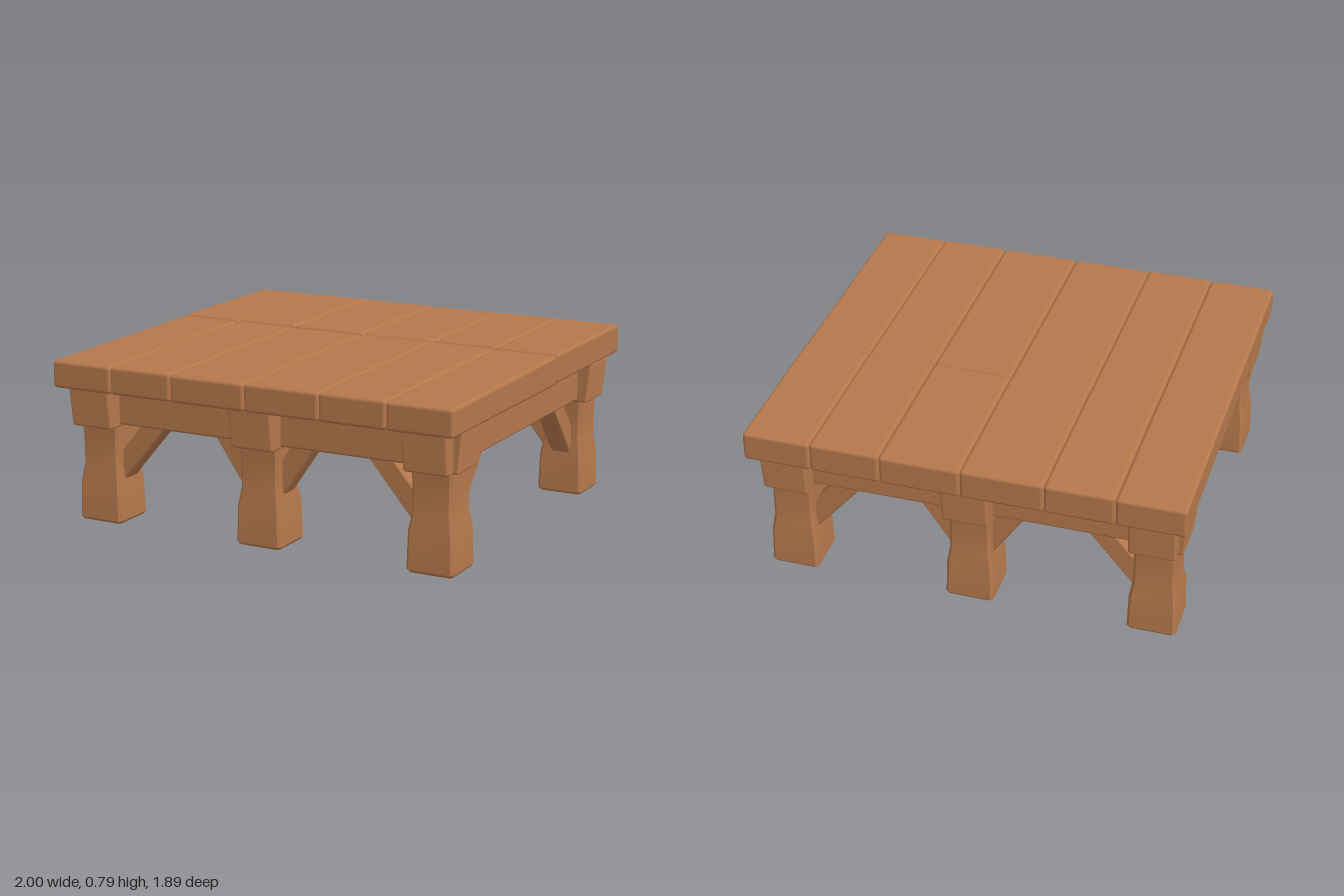
import * as THREE from 'three';
import { toCreasedNormals } from 'three/addons/utils/BufferGeometryUtils.js';
import { RoundedBoxGeometry } from 'three/addons/geometries/RoundedBoxGeometry.js';

const wood = new THREE.MeshStandardMaterial({ color: 0xb5784c });
wood.name = 'warm wood';

function add(parent, name, geometry) {
  const mesh = new THREE.Mesh(geometry, wood);
  mesh.name = name;
  parent.add(mesh);
  return mesh;
}

// Soft-edged box given by its limits, with an optional rule that moves vertices
function beam(x0, x1, y0, y1, z0, z1, radius, rule) {
  const g = new RoundedBoxGeometry(x1 - x0, y1 - y0, z1 - z0, 2, radius);
  g.translate((x0 + x1) / 2, (y0 + y1) / 2, (z0 + z1) / 2);
  if (rule) {
    const p = g.attributes.position;
    const v = new THREE.Vector3();
    for (let i = 0; i < p.count; i++) {
      rule(v.fromBufferAttribute(p, i));
      p.setXYZ(i, v.x, v.y, v.z);
    }
  }
  return g;
}

// Square post with chamfered corners, lofted through [y, half width] rows
function post(rows) {
  const pos = [], index = [], n = 8;
  for (const [y, h] of rows) {
    const c = h - 0.013;
    for (const [x, z] of [[h, c], [c, h], [-c, h], [-h, c], [-h, -c], [-c, -h], [c, -h], [h, -c]]) pos.push(x, y, z);
  }
  for (let r = 0; r < rows.length - 1; r++) {
    for (let i = 0; i < n; i++) {
      const a = r * n + i, b = r * n + (i + 1) % n;
      index.push(a, a + n, b, b, a + n, b + n);
    }
  }
  const top = (rows.length - 1) * n;
  for (let i = 1; i < n - 1; i++) {
    index.push(0, i, i + 1);
    index.push(top, top + i + 1, top + i);
  }
  const g = new THREE.BufferGeometry();
  g.setAttribute('position', new THREE.Float32BufferAttribute(pos, 3));
  g.setIndex(index);
  return toCreasedNormals(g, 0.5);
}

// Diagonal strut running along +x from the post centre, slanting up to the rail
function strut(points, width) {
  const bevel = 0.008;
  const shape = new THREE.Shape(points.map(([x, y]) => new THREE.Vector2(x, y)));
  const g = new THREE.ExtrudeGeometry(shape, {
    depth: width - 2 * bevel, bevelSize: bevel, bevelThickness: bevel, bevelOffset: -bevel, bevelSegments: 1,
  });
  return g.translate(0, 0, bevel - width / 2);
}

export function createModel() {
  const model = new THREE.Group();
  model.name = 'woodenPlatform';

  // Deck: two rows of planks, the front row dipping slightly forward
  const deck = new THREE.Group();
  deck.name = 'deck';
  model.add(deck);
  const seams = [-1, -0.69, -0.375, 0, 0.368, 0.688, 1];
  const drop = [0.002, 0, 0.003, 0.001, 0, 0.002];
  for (let i = 0; i < 6; i++) {
    const x0 = seams[i] + (i ? 0.001 : 0), x1 = seams[i + 1] - (i < 5 ? 0.001 : 0);
    add(deck, 'frontPlank', beam(x0, x1, 0.642, 0.783 - drop[i], -0.168, 0.947, 0.016, (v) => {
      if (v.y > 0.7) v.y -= 0.012 * (v.z + 0.168) / 1.115;
    }));
    add(deck, 'backPlank', beam(x0, x1, 0.648, 0.788 - drop[5 - i], -0.947, -0.171, 0.016));
  }

  // Legs: splayed foot, slim shaft, collars facing outward
  const legRows = [[0, 0.103], [0.012, 0.112], [0.18, 0.108], [0.26, 0.095], [0.4, 0.095], [0.47, 0.1], [0.645, 0.1]];
  const outerStrut = [[0.03, 0.12], [0.1, 0.2], [0.355, 0.5], [0.225, 0.5], [0.03, 0.27]];
  const middleStrut = [[0.03, 0.14], [0.1, 0.245], [0.275, 0.5], [0.16, 0.5], [0.03, 0.31]];
  for (const sz of [1, -1]) {
    for (const sx of [-1, 0, 1]) {
      const leg = new THREE.Group();
      leg.name = 'leg';
      leg.position.set(sx * 0.842, 0, sz * 0.722);
      model.add(leg);
      add(leg, 'legPost', post(legRows));

      const collar = () => beam(-0.106, 0.106, 0.457, 0.65, 0, 0.182, 0.012, (v) => {
        if (v.z > 0.09) v.z -= 0.025 * (0.65 - v.y) / 0.193;
      });
      add(leg, 'endCollar', collar()).rotation.y = sz > 0 ? 0 : Math.PI;
      if (sx) {
        const side = add(leg, 'sideCollar', collar());
        side.rotation.y = sx * Math.PI / 2;
        side.scale.z = 0.81;
      }

      // Struts along x towards the neighbouring legs, and one inward along z
      for (const dir of sx ? [-sx] : [1, -1]) {
        add(leg, 'longStrut', strut(sx ? outerStrut : middleStrut, 0.1)).rotation.y = dir > 0 ? 0 : Math.PI;
      }
      add(leg, 'crossStrut', strut(outerStrut, 0.1)).rotation.y = sz * Math.PI / 2;
    }
  }

  // Rails under the deck, their lower edges worn into a slight arch
  const rails = new THREE.Group();
  rails.name = 'rails';
  model.add(rails);
  for (const s of [1, -1]) {
    add(rails, 'longRail', beam(-0.9, 0.9, 0.468, 0.65, s * 0.727 - 0.08, s * 0.727 + 0.08, 0.012));
  }
  for (const x of [-0.842, 0, 0.842]) {
    add(rails, 'crossRail', beam(x - 0.08, x + 0.08, 0.468, 0.65, -0.78, 0.78, 0.012));
  }
  return model;
}
